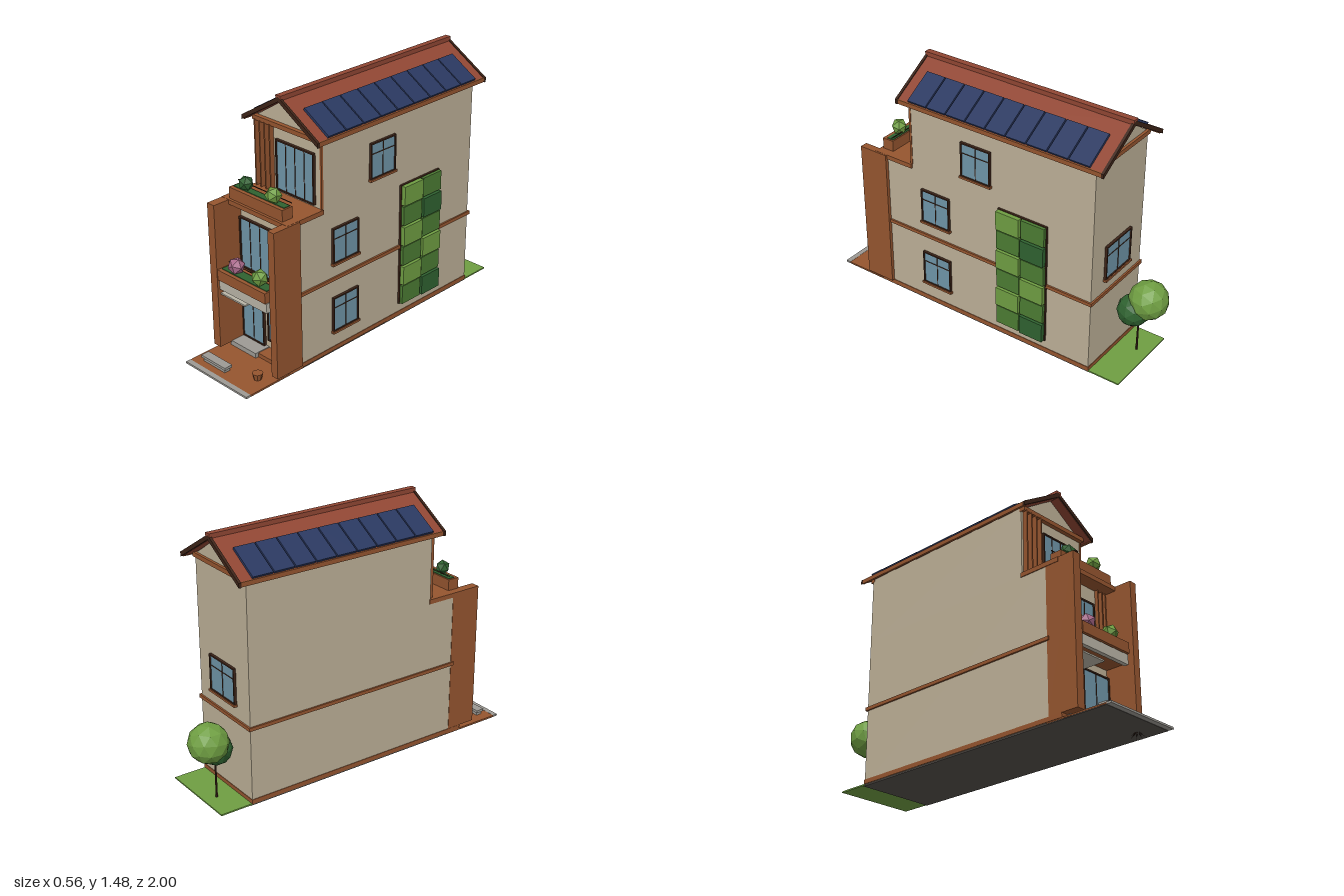
import * as THREE from 'three';

const C = {
  wall: 0xbdb097, brown: 0x95552f, dark: 0x3d2418, glass: 0x6f95a8, roof: 0x904633, solar: 0x2a3860,
  light: 0x6f9e42, mid: 0x4c7c33, deep: 0x2f6230, pink: 0xa8688a, stone: 0x9d9a94, sign: 0xb9b4a6, site: 0x55504b,
};
const mats = {};
const mat = (c) => (mats[c] ??= new THREE.MeshStandardMaterial({ color: C[c], flatShading: true }));

export function createModel() {
  const model = new THREE.Group();
  const add = (name, geo, color, parent = model) => {
    const m = new THREE.Mesh(geo, mat(color));
    m.name = name;
    parent.add(m);
    return m;
  };
  // Box given by its extents on each axis
  const box = (name, color, x0, x1, y0, y1, z0, z1, parent) => {
    const m = add(name, new THREE.BoxGeometry(x1 - x0, y1 - y0, z1 - z0), color, parent);
    m.position.set((x0 + x1) / 2, (y0 + y1) / 2, (z0 + z1) / 2);
    return m;
  };
  // Outline in x and y, extruded from z0 to z1
  const prism = (name, color, pts, z0, z1) => {
    const shape = new THREE.Shape(pts.map(([x, y]) => new THREE.Vector2(x, y)));
    const m = add(name, new THREE.ExtrudeGeometry(shape, { depth: z1 - z0, bevelEnabled: false }), color);
    m.position.z = z0;
  };
  const bush = (name, color, x, y, z, r, detail = 0, turn = 0.4) => {
    const m = add(name, new THREE.IcosahedronGeometry(r, detail), color);
    m.position.set(x, y, z);
    m.rotation.set(turn, turn * 2, turn / 2);
  };

  // Framed window facing +z: w by h, with vertical bars and an optional crossbar and sill
  const windowUnit = (name, w, h, bars, cross, sill) => {
    const g = new THREE.Group();
    g.name = name;
    const f = 0.008, d = 0.012;
    box('glass', 'glass', -w / 2, w / 2, -h / 2, h / 2, -0.004, 0.005, g);
    for (const s of [-1, 1]) {
      box('frameSide', 'dark', s * w / 2 - f / 2, s * w / 2 + f / 2, -h / 2, h / 2, -0.004, d, g);
      box('frameRail', 'dark', -w / 2 - f / 2, w / 2 + f / 2, s * h / 2 - f / 2, s * h / 2 + f / 2, -0.004, d, g);
    }
    for (let i = 1; i <= bars; i++) {
      const x = -w / 2 + (w * i) / (bars + 1);
      box('bar', 'dark', x - 0.002, x + 0.002, -h / 2, h / 2, 0, 0.008, g);
    }
    if (cross) box('crossbar', 'dark', -w / 2, w / 2, h * 0.2 - 0.002, h * 0.2 + 0.002, 0, 0.008, g);
    if (sill) box('sill', 'brown', -w / 2 - 0.01, w / 2 + 0.01, -h / 2 - 0.012, -h / 2, -0.004, 0.018, g);
    model.add(g);
    return g;
  };

  // Site
  box('siteSlab', 'site', -0.238, 0.238, 0.03, 0.038, -0.74, 0.97);
  box('paving', 'brown', -0.24, 0.24, 0.034, 0.042, 0.6, 0.97);
  box('curb', 'stone', -0.24, 0.24, 0.032, 0.043, 0.97, 1.0);
  box('lawn', 'light', -0.24, 0.24, 0.034, 0.042, -0.92, -0.73);
  box('doorStep', 'stone', -0.2, 0, 0.04, 0.07, 0.62, 0.72);

  // House body
  box('lowerWalls', 'wall', -0.24, 0.24, 0.04, 0.895, -0.73, 0.62);
  box('upperWalls', 'wall', -0.24, 0.24, 0.89, 1.3, -0.73, 0.45);
  prism('gable', 'wall', [[-0.24, 1.295], [0.24, 1.295], [0, 1.448]], -0.73, 0.45);
  box('plinth', 'brown', -0.243, 0.243, 0.04, 0.065, -0.733, 0.7);
  box('floorBand', 'brown', -0.25, 0.25, 0.47, 0.49, -0.74, 0.63);
  for (const [z0, z1] of [[0.44, 0.475], [-0.745, -0.72]])
    box('gableBeam', 'brown', -0.242, 0.242, 1.28, 1.305, z0, z1);

  // Front fins, slabs, canopy and sign board
  box('rightFin', 'brown', -0.242, -0.19, 0.065, 0.91, 0.615, 0.8);
  box('leftFin', 'brown', 0.215, 0.26, 0.065, 0.91, 0.62, 0.8);
  box('terraceSlab', 'brown', -0.245, 0.25, 0.885, 0.911, 0.445, 0.7);
  box('balconySlab', 'brown', -0.2, 0.22, 0.45, 0.49, 0.615, 0.75);
  box('signBoard', 'sign', -0.185, 0.18, 0.42, 0.476, 0.765, 0.79);
  box('canopy', 'sign', -0.2, 0.0, 0.383, 0.392, 0.62, 0.78);

  // Planters with soil, bushes and a thin rail
  for (const [w0, w1, y0, y1, z0, z1, rail] of [
    [-0.2, 0.2, 0.911, 0.975, 0.615, 0.685, 0.995],
    [-0.185, 0.18, 0.48, 0.54, 0.715, 0.8, 0.558],
  ]) {
    box('planter', 'brown', w0, w1, y0, y1, z0, z1);
    box('planting', 'deep', w0 + 0.01, w1 - 0.01, y1 - 0.01, y1 + 0.004, z0 + 0.008, z1 - 0.022);
    box('rail', 'dark', w0, w1, rail - 0.002, rail + 0.002, z0 + 0.002, z0 + 0.006);
  }
  bush('planterBush', 'deep', -0.105, 1.015, 0.65, 0.042);
  bush('planterBush', 'light', 0.1, 1.015, 0.65, 0.046, 0, 0.9);
  bush('floweringBush', 'pink', -0.09, 0.58, 0.75, 0.047, 0, 0.2);
  bush('planterBush', 'light', 0.09, 0.58, 0.75, 0.047, 0, 0.7);

  // Timber slats beside the big windows
  for (const x of [-0.222, -0.185, -0.148, -0.11])
    box('slat', 'brown', x - 0.004, x + 0.004, 0.911, 1.285, 0.445, 0.478);
  for (const x of [0.145, 0.178, 0.205])
    box('slat', 'brown', x - 0.004, x + 0.004, 0.49, 0.885, 0.615, 0.64);
  box('cornerPost', 'brown', 0.232, 0.243, 0.911, 1.285, 0.44, 0.453);

  // Front windows and door: x0, x1, y0, y1, z, bars
  for (const [name, x0, x1, y0, y1, z, bars] of [
    ['frontDoor', -0.19, -0.025, 0.072, 0.378, 0.625, 1],
    ['shopWindow', 0.012, 0.213, 0.122, 0.398, 0.625, 1],
    ['balconyWindow', -0.185, 0.113, 0.5, 0.79, 0.625, 3],
    ['terraceWindow', -0.076, 0.195, 0.93, 1.207, 0.455, 3],
  ]) windowUnit(name, x1 - x0, y1 - y0, bars, false, false).position.set((x0 + x1) / 2, (y0 + y1) / 2, z);

  // Side and back windows
  for (const [z, y] of [[0.285, 0.265], [0.285, 0.675], [0.005, 1.065]]) {
    const w = windowUnit('sideWindow', 0.184, 0.2, 1, true, true);
    w.position.set(0.243, y, z);
    w.rotation.y = Math.PI / 2;
  }
  const back = windowUnit('backWindow', 0.232, 0.2, 1, true, true);
  back.position.set(0.003, 0.672, -0.733);
  back.rotation.y = Math.PI;

  // Green wall: two columns of planted panels
  box('greenWallFrame', 'dark', 0.235, 0.252, 0.118, 0.852, -0.455, -0.14);
  const tones = [['mid', 'deep'], ['light', 'mid'], ['mid', 'light'], ['light', 'mid'], ['mid', 'deep'], ['light', 'mid']];
  tones.forEach((row, r) => row.forEach((tone, c) => {
    const y = 0.122 + r * 0.1225, z = -0.145 - c * 0.157;
    box('greenPanel', tone, 0.25, 0.27 + ((r + c) % 2) * 0.007, y, y + 0.113, z - 0.148, z);
  }));

  // Roof: chevron section, dark barge boards, eaves and ridge cap
  const chevron = (top, x, drop, t) => [[0, top], [x, top - drop], [x, top - drop - t], [0, top - t], [-x, top - drop - t], [-x, top - drop]];
  prism('roof', 'roof', chevron(1.468, 0.272, 0.165, 0.022), -0.785, 0.505);
  for (const z of [-0.795, 0.497])
    prism('bargeBoard', 'dark', chevron(1.474, 0.28, 0.17, 0.026), z, z + 0.015);
  box('ridgeCap', 'roof', -0.018, 0.018, 1.455, 1.482, -0.795, 0.512);
  const slope = Math.atan2(0.165, 0.272);
  for (const s of [-1, 1]) {
    box('eaveBoard', 'brown', s * 0.272 - 0.006, s * 0.272 + 0.006, 1.28, 1.305, -0.785, 0.505);
    const panels = new THREE.Group();
    panels.name = 'solarPanels';
    panels.position.set(s * 0.182, 1.468 - 0.182 * Math.tan(slope), 0);
    panels.rotation.z = -s * slope;
    for (let i = 0; i < 9; i++) {
      const z = 0.43 - i * 0.1275;
      box('solarPanel', 'solar', -0.1, 0.1, 0, 0.014, z - 0.12, z, panels);
    }
    model.add(panels);
  }

  // Tree behind the house
  const trunk = add('treeTrunk', new THREE.CylinderGeometry(0.005, 0.007, 0.27, 6), 'dark');
  trunk.position.set(-0.07, 0.17, -0.845);
  bush('treeCrown', 'light', -0.085, 0.385, -0.89, 0.112, 1);
  bush('treeCrown', 'deep', -0.045, 0.315, -0.825, 0.092, 1, 0.8);

  // Bench
  box('benchSeat', 'stone', -0.19, 0, 0.062, 0.077, 0.885, 0.935);
  box('benchBase', 'stone', -0.18, -0.01, 0.04, 0.064, 0.892, 0.928);

  // Pot with trailing spiky leaves
  const pot = add('pot', new THREE.CylinderGeometry(0.03, 0.02, 0.04, 8), 'brown');
  pot.position.set(0.155, 0.06, 0.845);
  for (let i = 0; i < 7; i++) {
    const a = (i / 7) * Math.PI * 2;
    const leaf = add('leaf', new THREE.ConeGeometry(0.004, 0.055, 4), 'dark');
    const dir = new THREE.Vector3(Math.cos(a), -0.9, Math.sin(a)).normalize();
    leaf.quaternion.setFromUnitVectors(new THREE.Vector3(0, 1, 0), dir);
    leaf.position.set(0.155, 0.042, 0.845).addScaledVector(dir, 0.025);
  }
  return model;
}
